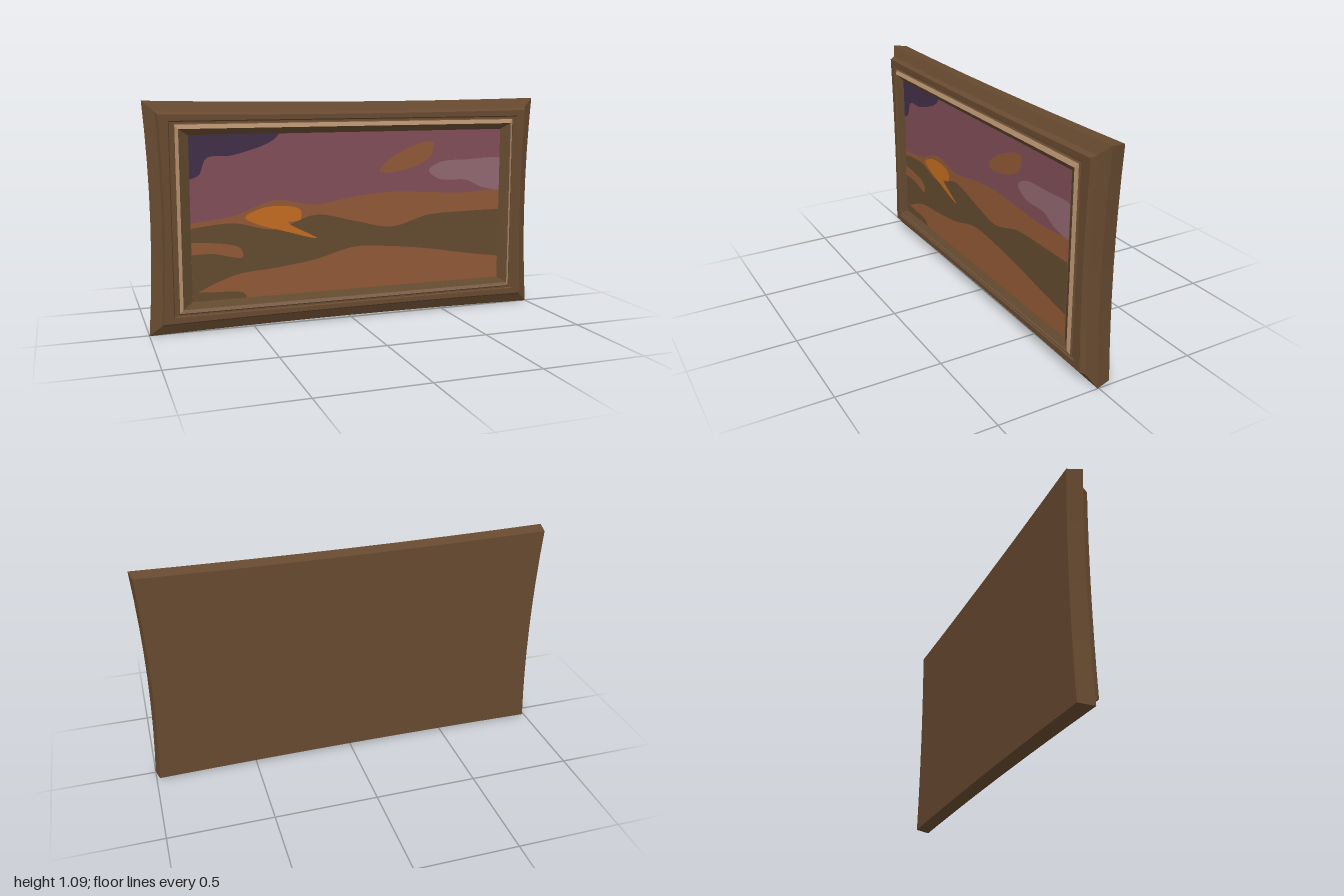
import * as THREE from 'three';

const CY = 0.547; // height of the frame's centre
const HW = 0.8; // half width of the painting
const LOW = 0.157; // lower and upper edges of the painting
const HIGH = 0.938;
const DEPTH = 0.043;

const paint = (name, color) => Object.assign(new THREE.MeshStandardMaterial({ color }), { name });
const mats = {
  wood: paint('walnut brown', 0x674a30),
  trim: paint('pale wood', 0xb08c6c),
  olive: paint('olive brown', 0x634a2f),
  mauve: paint('dusk mauve', 0x814e58),
  rust: paint('rust brown', 0x915936),
  orange: paint('glowing orange', 0xc46c20),
  plum: paint('dark plum', 0x422f48),
  lilac: paint('grey lilac', 0x926772),
};

// Rectangular ring with inward bowed sides, counter-clockwise from the front
function ring([hw, hh, z, bow = 0], n = 8) {
  const pts = [];
  for (let side = 0; side < 4; side++) {
    for (let i = 0; i < n; i++) {
      const t = -1 + (2 * i) / n;
      const pinch = bow * (1 - t * t);
      const u = side % 2 ? hw - pinch : t * hw;
      const v = side % 2 ? t * hh : pinch / 2 - hh;
      const s = side < 2 ? 1 : -1;
      pts.push([s * u, s * v + CY, z]);
    }
  }
  return pts;
}

function facets(name, verts, material) {
  const g = new THREE.BufferGeometry();
  g.setAttribute('position', new THREE.Float32BufferAttribute(verts.flat(), 3));
  g.computeVertexNormals();
  const mesh = new THREE.Mesh(g, material);
  mesh.name = name;
  return mesh;
}

// Moulding that runs through a list of rings, from outside to inside
function moulding(name, profile, material) {
  const rings = profile.map((p) => ring(p));
  const v = [];
  for (let r = 0; r + 1 < rings.length; r++) {
    const [o, i] = [rings[r], rings[r + 1]];
    o.forEach((a, j) => {
      const k = (j + 1) % o.length;
      v.push(a, o[k], i[k], a, i[k], i[j]);
    });
  }
  return facets(name, v, material);
}

// Flat painted face, kept inside the painting's edges
function flat(name, points, layer, material) {
  const outline = points.map((p) => new THREE.Vector2(
    THREE.MathUtils.clamp(p.x, -HW, HW),
    THREE.MathUtils.clamp(p.y, LOW, HIGH)
  ));
  const mesh = new THREE.Mesh(new THREE.ShapeGeometry(new THREE.Shape(outline)), material);
  mesh.name = name;
  mesh.position.z = DEPTH + layer * 0.0012;
  return mesh;
}

// Soft closed outline through a few points
function patch(name, coords, layer, material) {
  const pts = coords.map(([x, y]) => new THREE.Vector3(x, y, 0));
  const curve = new THREE.CatmullRomCurve3(pts, true, 'centripetal');
  return flat(name, curve.getPoints(pts.length * 6).slice(0, -1), layer, material);
}

// Rolling land between two lines of evenly spaced heights
function land(name, tops, bottoms, layer, material) {
  const line = (heights) => new THREE.SplineCurve(heights.map(
    (y, i) => new THREE.Vector2(HW * ((2 * i) / (heights.length - 1) - 1), y)
  )).getPoints(48);
  return flat(name, [...line(bottoms), ...line(tops).reverse()], layer, material);
}

export function createModel() {
  const model = new THREE.Group();
  model.name = 'framedPainting';

  // Frame rings: half width, half height, depth, bow
  const back = [0.985, 0.538, -0.066, 0.02];
  const ridge = [0.847, 0.42, 0.067];
  const lip = [0.862, 0.44, 0.057];
  model.add(moulding('outerFrame', [
    back,
    [1.0, 0.547, 0.006, 0.022],
    [0.945, 0.498, 0.033, 0.016],
    [0.935, 0.486, 0.057, 0.014],
    [0.89, 0.457, 0.057],
    [0.885, 0.452, 0.05],
    [0.868, 0.445, 0.05],
    lip,
  ], mats.wood));
  model.add(moulding('trim', [lip, ridge], mats.trim));
  model.add(moulding('innerSlope', [ridge, [HW, 0.39, DEPTH]], mats.olive));

  // Closed back
  const edge = ring(back);
  const fan = edge.flatMap((p, j) => [[0, CY, back[2]], edge[(j + 1) % edge.length], p]);
  model.add(facets('backPanel', fan, mats.wood));

  // Sky and clouds
  model.add(land('sky', [HIGH, HIGH], [LOW, LOW], 0, mats.mauve));
  model.add(patch('darkCloud', [
    [-0.86, 0.99], [-0.37, 0.96], [-0.4, 0.91], [-0.6, 0.84], [-0.72, 0.83], [-0.76, 0.75], [-0.86, 0.74],
  ], 1, mats.plum));
  model.add(patch('paleCloud', [
    [0.4, 0.735], [0.46, 0.775], [0.6, 0.785], [0.86, 0.77], [0.86, 0.63], [0.7, 0.64], [0.61, 0.68], [0.46, 0.69],
  ], 1, mats.lilac));
  model.add(patch('rustCloud', [
    [0.135, 0.74], [0.2, 0.81], [0.42, 0.88], [0.41, 0.81], [0.28, 0.745],
  ], 1, mats.rust));

  // Land, layered from far to near
  model.add(land('distantLand',
    [0.53, 0.555, 0.62, 0.59, 0.62, 0.635, 0.625, 0.615, 0.63], [LOW, LOW], 1, mats.rust));
  model.add(land('hills',
    [0.505, 0.52, 0.48, 0.54, 0.5, 0.46, 0.51, 0.518, 0.52],
    [0.19, 0.27, 0.292, 0.32, 0.37, 0.36, 0.335, 0.3, 0.27], 2, mats.olive));
  model.add(patch('leftSlope', [
    [-0.86, 0.43], [-0.74, 0.435], [-0.57, 0.4], [-0.56, 0.355], [-0.7, 0.38], [-0.86, 0.39],
  ], 3, mats.rust));
  model.add(patch('nearGround', [
    [-0.86, 0.185], [-0.69, 0.195], [-0.55, 0.175], [-0.55, 0.1], [-0.86, 0.1],
  ], 2, mats.olive));
  model.add(patch('sunlitRidge', [
    [-0.545, 0.545], [-0.44, 0.59], [-0.275, 0.57], [-0.275, 0.52], [-0.335, 0.51], [-0.19, 0.425], [-0.36, 0.47],
    [-0.5, 0.515],
  ], 3, mats.orange));
  return model;
}
